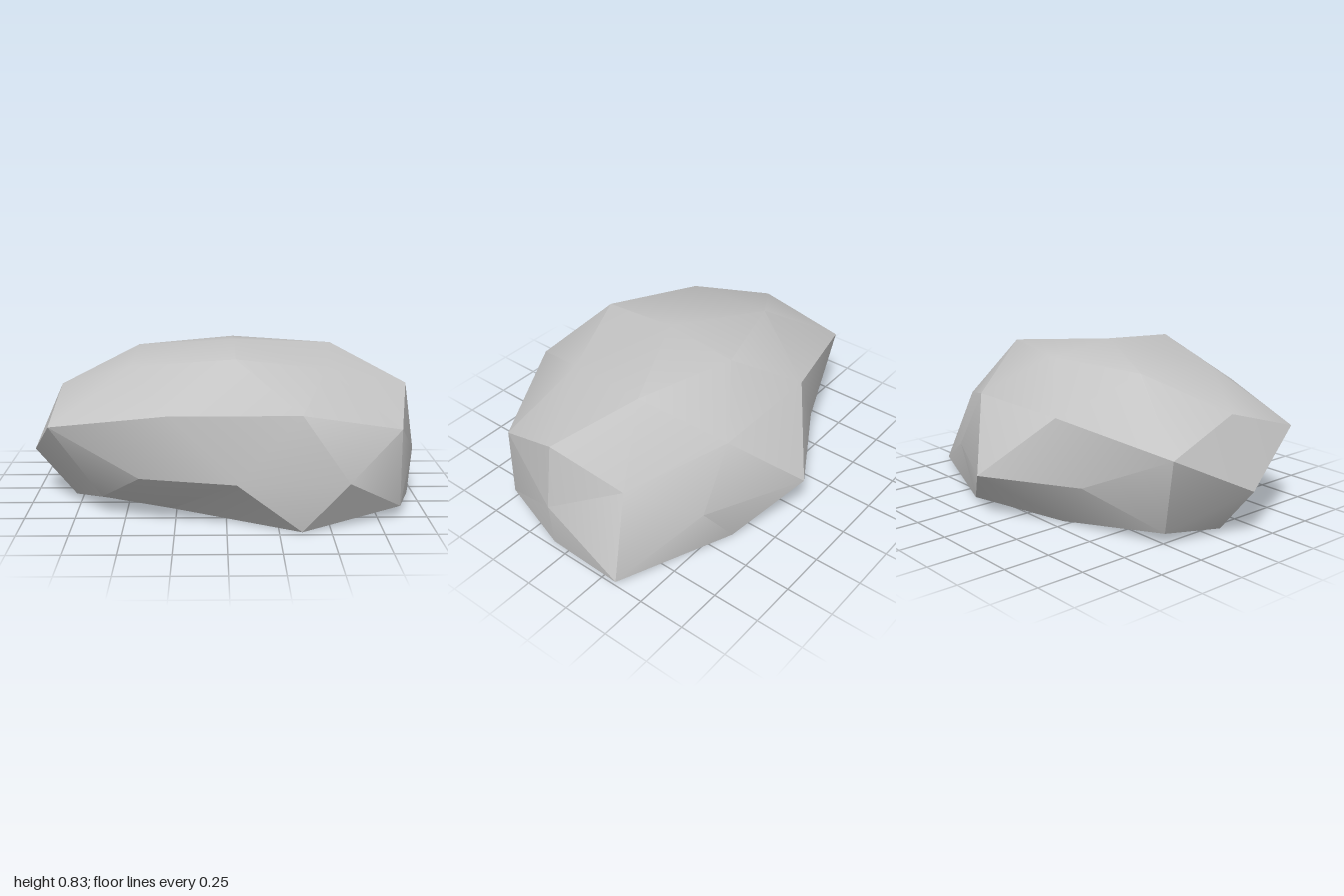
import * as THREE from 'three';
import { mergeVertices, toCreasedNormals } from 'three/addons/utils/BufferGeometryUtils.js';

// Rings of the boulder from crown to base, each running from the front towards +x: [x, y, z]
const rings = [
  // crown
  [[0.045, 0.83, 0.1]],
  // upper slope
  [[0.045, 0.8, 0.51], [0.5, 0.72, 0.34], [0.565, 0.775, -0.135],
    [0.045, 0.785, -0.295], [-0.46, 0.765, -0.14], [-0.47, 0.735, 0.34]],
  // shoulder
  [[0.355, 0.57, 0.715], [0.865, 0.445, 0.485], [0.94, 0.6, 0.1], [0.835, 0.44, -0.265], [0.36, 0.57, -0.52],
    [-0.27, 0.57, -0.52], [-0.9, 0.47, -0.34], [-0.845, 0.6, 0.1], [-0.865, 0.47, 0.52], [-0.275, 0.57, 0.715]],
  // waist
  [[0.045, 0.25, 0.765], [0.58, 0.25, 0.75], [0.99, 0.25, 0.1], [0.56, 0.25, -0.53],
    [0.045, 0.25, -0.77], [-0.435, 0.25, -0.495], [-1, 0.25, 0.1], [-0.42, 0.25, 0.655]],
  // foot, undercut at the front right
  [[0.36, 0, 0.715], [0.865, 0.055, 0.49], [0.97, 0, 0.1], [1, 0.025, -0.34], [0.37, 0, -0.57],
    [-0.21, 0, -0.43], [-0.77, 0.06, -0.26], [-0.79, 0, 0.1], [-0.62, 0.09, 0.43], [-0.27, 0.02, 0.41]],
  // flat underside
  [[0.04, 0, 0.42], [0.5, 0, 0.32], [0.5, 0, -0.14], [0.04, 0, -0.28], [-0.4, 0, -0.12], [-0.4, 0, 0.26]],
  [[0.04, 0, 0.1]],
];

// Turn about y measured from the front, 0 to 2 pi
const turn = (v) => (Math.atan2(v.x, v.z) + 2 * Math.PI + 0.01) % (2 * Math.PI);

function boulderGeometry() {
  // Subdivided icosahedron, its vertices moved ring by ring
  let geo = new THREE.IcosahedronGeometry(1, 1).rotateY(Math.PI / 2);
  geo.deleteAttribute('normal');
  geo.deleteAttribute('uv');
  geo = mergeVertices(geo, 1e-3);
  const pos = geo.attributes.position;
  const verts = [];
  for (let i = 0; i < pos.count; i++) {
    const v = new THREE.Vector3().fromBufferAttribute(pos, i);
    verts.push({ i, y: v.y, angle: turn(v) });
  }
  verts.sort((a, b) => b.y - a.y);
  let start = 0;
  for (const ring of rings) {
    const level = verts.slice(start, start + ring.length).sort((a, b) => a.angle - b.angle);
    level.forEach((v, k) => pos.setXYZ(v.i, ...ring[k]));
    start += ring.length;
  }
  return toCreasedNormals(geo, Math.PI / 6);
}

export function createModel() {
  const stone = new THREE.MeshStandardMaterial({ color: 0xc4c4c4 });
  stone.name = 'stone grey';
  const boulder = new THREE.Mesh(boulderGeometry(), stone);
  boulder.name = 'boulder';
  const group = new THREE.Group();
  group.name = 'rock';
  group.add(boulder);
  return group;
}
